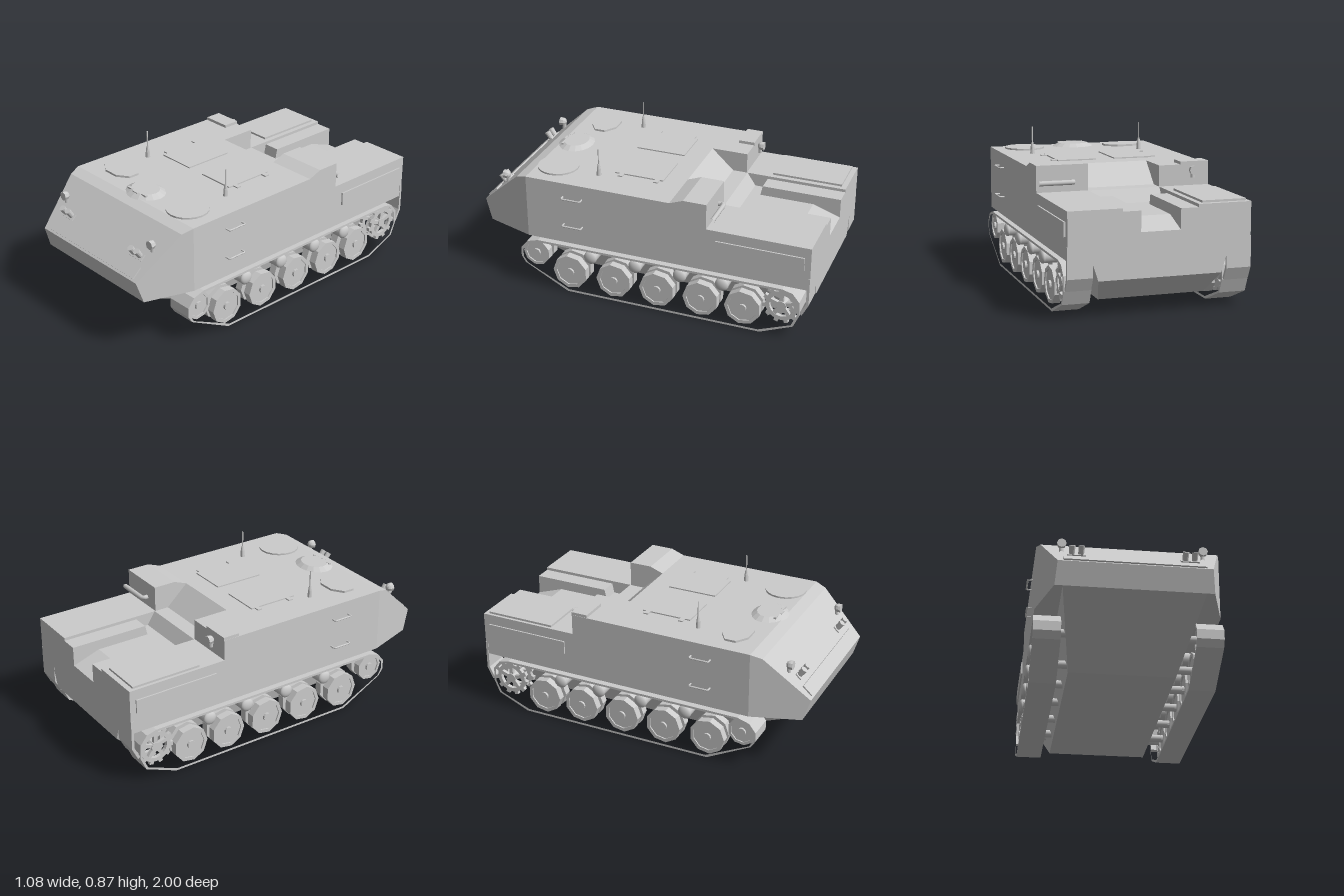
import * as THREE from 'three';

const mat = new THREE.MeshStandardMaterial({ color: 0xcccccc, flatShading: true });
const smooth = new THREE.MeshStandardMaterial({ color: 0xcccccc });
const SLOPE = Math.atan2(0.255, 0.23);
const TILT = Math.PI / 2 - SLOPE;
const glacisY = z => 0.685 - (z - 0.745) * 0.902;

export function createModel() {
  const root = new THREE.Group();

  const add = (name, geo, x = 0, y = 0, z = 0, parent = root, m = mat) => {
    const mesh = new THREE.Mesh(geo, m);
    mesh.name = name;
    mesh.position.set(x, y, z);
    parent.add(mesh);
    return mesh;
  };
  const toShape = pts => new THREE.Shape(pts.map(p => new THREE.Vector2(p[0], p[1])));
  // side profile of [z, y] points, extruded across x from x0 to x1
  const profile = (pts, x0, x1, hole) => {
    const s = toShape(pts);
    if (hole) s.holes.push(toShape(hole));
    const g = new THREE.ExtrudeGeometry(s, { depth: x1 - x0, bevelEnabled: false, curveSegments: 8 });
    return g.rotateY(-Math.PI / 2).translate(x1, 0, 0);
  };
  // profile with its half width set by a rule f(y, z)
  const tapered = (pts, f) => {
    const g = profile(pts, -1, 1), p = g.attributes.position;
    for (let i = 0; i < p.count; i++) p.setX(i, Math.sign(p.getX(i)) * f(p.getY(i), p.getZ(i)));
    g.computeVertexNormals();
    return g;
  };
  const box = (name, x0, x1, y0, y1, z0, z1) =>
    add(name, new THREE.BoxGeometry(x1 - x0, y1 - y0, z1 - z0), (x0 + x1) / 2, (y0 + y1) / 2, (z0 + z1) / 2);
  // cylinder with its axis along x
  const axle = (r, len, n = 16, r2 = r) => new THREE.CylinderGeometry(r, r2, len, n).rotateZ(-Math.PI / 2);
  const ringGeo = (R, r, len, n) => {
    const pts = q => Array.from({ length: n }, (_, i) => [q * Math.cos(i * 2 * Math.PI / n), q * Math.sin(i * 2 * Math.PI / n)]);
    return profile(pts(R), -len / 2, len / 2, pts(r));
  };
  const tube = (pts, r) => {
    const path = new THREE.CurvePath();
    const v = pts.map(p => new THREE.Vector3(...p));
    for (let i = 1; i < v.length; i++) path.add(new THREE.LineCurve3(v[i - 1], v[i]));
    return new THREE.TubeGeometry(path, 24, r, 8);
  };

  // hull
  add('nose', tapered([[0.68, 0.325], [0.96, 0.33], [1, 0.455], [0.745, 0.685], [0.68, 0.705]],
    (y, z) => 0.507 - (z - 0.68) * 0.3));
  add('lowerHull', tapered([[0.96, 0.33], [0.68, 0.33], [-0.998, 0.33], [-0.998, 0.21], [-0.86, 0.08], [0.42, 0.08]],
    y => 0.3 + (y - 0.08) * 0.32));
  add('centreHull', profile([[0.68, 0.325], [0.68, 0.705], [-0.19, 0.705], [-0.32, 0.585], [-0.41, 0.585],
    [-0.46, 0.51], [-0.84, 0.51], [-1, 0.455], [-1, 0.325]], -0.21, 0.21));
  add('leftHull', profile([[0.68, 0.325], [0.68, 0.705], [-0.19, 0.705], [-0.27, 0.735], [-0.405, 0.735],
    [-0.405, 0.585], [-1, 0.585], [-1, 0.325]], 0.21, 0.507));
  add('rightHull', profile([[0.68, 0.325], [0.68, 0.705], [-0.405, 0.705],
    [-0.405, 0.585], [-1, 0.585], [-1, 0.325]], -0.507, -0.21));
  box('roofBox', -0.505, -0.337, 0.7, 0.722, -0.407, -0.31);
  box('deckPanel', -0.49, -0.24, 0.58, 0.597, -0.97, -0.555);

  // folding panel on the front slope
  const vane = add('frontPanel', new THREE.BoxGeometry(0.76, 0.016, 0.07), 0, glacisY(0.964), 0.964);
  vane.rotation.x = TILT;

  // crew hatches
  const oct = add('rightCrewHatch', new THREE.CylinderGeometry(0.118, 0.118, 0.018, 8), -0.3, 0.708, 0.525);
  oct.rotation.y = Math.PI / 8;
  oct.geometry.rotateY(0).scale(1, 1, 1);
  oct.rotation.y = 0;
  oct.geometry.rotateY(Math.PI / 8).scale(1.06, 1, 0.72);
  add('leftCrewHatch', new THREE.CylinderGeometry(0.12, 0.12, 0.016, 20), 0.32, 0.707, 0.56);
  const cupola = add('cupola', new THREE.CylinderGeometry(0.09, 0.135, 0.024, 16), 0, 0.713, 0.59);
  cupola.scale.z = 0.8;
  for (const x of [-0.06, 0, 0.06])
    add('periscope', new THREE.BoxGeometry(0.04, 0.01, 0.014), x, 0.721, 0.66 - Math.abs(x) * 0.18);

  // exhaust pipe behind the raised roof
  add('exhaustPipe', tube([[0.3, 0.64, -0.39], [0.3, 0.64, -0.43], [0.315, 0.64, -0.437], [0.5, 0.64, -0.437]], 0.014), 0, 0, 0, root, smooth);

  // lamp: bent stalk with a rounded head facing dir along z
  const lamp = (name, x, y, z, dir) => {
    const g = new THREE.Group();
    g.name = name;
    g.position.set(x, y, z);
    add('stalk', tube([[0, -0.045, -0.01 * dir], [0, -0.01, -0.012 * dir], [0, 0, 0]], 0.012), 0, 0, 0, g, smooth);
    const dome = new THREE.SphereGeometry(0.026, 8, 4, 0, Math.PI * 2, 0, Math.PI / 2);
    add('head', dome.rotateX(-dir * Math.PI / 2), 0, 0, 0, g);
    add('lens', new THREE.CylinderGeometry(0.026, 0.026, 0.014, 8).rotateX(Math.PI / 2), 0, 0, dir * 0.007, g);
    root.add(g);
  };
  lamp('rearLamp', -0.405, 0.675, -0.435, -1);

  const loop = [[0.44, 0], [-0.73, 0], [-0.92, 0.08], [-0.955, 0.16], [-0.95, 0.24], [-0.91, 0.29], [-0.85, 0.306],
    [0.62, 0.306], [0.69, 0.285], [0.73, 0.235], [0.73, 0.18], [0.705, 0.14]];
  const inner = loop.map(([z, y]) => [-0.112 + (z + 0.112) * 0.984, 0.153 + (y - 0.153) * 0.915]);

  for (const s of [-1, 1]) {
    const span = (a, b) => s > 0 ? [a, b] : [-b, -a];

    // tracks and rear flaps
    add('track', profile(loop, ...span(0.365, 0.515), inner));
    add('rearFlap', profile([[-0.985, 0.4], [-1.0, 0.4], [-1.0, 0.23], [-0.965, 0.16], [-0.952, 0.17], [-0.985, 0.235]],
      ...span(0.37, 0.51)));

    // road wheels and front idler: twin discs, rims and hub
    const wheel = (name, z, y, r) => {
      const g = new THREE.Group();
      g.name = name;
      g.position.set(s * 0.44, y, z);
      for (const d of [-0.035, 0.035]) {
        add('rim', ringGeo(r, r * 0.8, 0.045, 9), d, 0, 0, g);
        add('disc', axle(r * 0.85, 0.03, 9), d, 0, 0, g);
      }
      add('hub', axle(0.024, 0.125, 12), 0, 0, 0, g);
      add('shaft', axle(0.023, 0.16, 12), -s * 0.08, 0, 0, g, smooth);
      root.add(g);
    };
    for (const z of [0.43, 0.157, -0.108, -0.372, -0.62]) wheel('roadWheel', z, 0.12, 0.106);
    wheel('idlerWheel', 0.64, 0.21, 0.083);

    // return rollers with domed ends
    for (const z of [0.295, 0.02, -0.25, -0.5]) {
      add('returnRoller', axle(0.038, 0.14, 16), s * 0.43, 0.25, z, root, smooth);
      const cap = add('rollerCap', new THREE.SphereGeometry(0.04, 16, 10), s * 0.5, 0.25, z, root, smooth);
      cap.scale.x = 0.5;
    }

    // sprocket: toothed ring, spokes and hub
    const sp = new THREE.Group();
    sp.name = 'driveSprocket';
    sp.position.set(s * 0.45, 0.187, -0.845);
    for (const d of [-0.035, 0.035]) {
      add('sprocketRing', ringGeo(0.093, 0.07, 0.022, 22), d, 0, 0, sp);
      for (let i = 0; i < 11; i++) {
        const a = i * 2 * Math.PI / 11;
        const t = add('tooth', new THREE.BoxGeometry(0.022, 0.022, 0.024), d, 0.098 * Math.cos(a), 0.098 * Math.sin(a), sp);
        t.rotation.x = a;
      }
      for (let i = 0; i < 5; i++) {
        const a = i * 2 * Math.PI / 5;
        const t = add('spoke', new THREE.BoxGeometry(0.02, 0.06, 0.022), d, 0.047 * Math.cos(a), 0.047 * Math.sin(a), sp);
        t.rotation.x = a;
      }
    }
    add('sprocketHub', axle(0.028, 0.1, 12), 0, 0, 0, sp);
    add('sprocketShaft', axle(0.024, 0.16, 12), -s * 0.08, 0, 0, sp);
    root.add(sp);

    // side panel and step loops
    box('sidePanel', ...span(0.5, 0.516), 0.447, 0.525, -0.965, -0.46);
    for (const y of [0.445, 0.62])
      add('sideStep', tube([[s * 0.5, y, 0.335], [s * 0.536, y, 0.335], [s * 0.536, y, 0.45], [s * 0.5, y, 0.45]], 0.005));

    // roof hatches with hinges
    box('roofHatch', ...span(0.055, 0.285), 0.7, 0.712, -0.07, 0.225);
    for (const z of [-0.035, 0.18]) box('hatchHinge', ...span(0.28, 0.318), 0.7, 0.712, z - 0.014, z + 0.014);

    // rails beside the rear channel
    add('deckRail', profile([[-0.52, 0.5], [-0.535, 0.568], [-1, 0.568], [-1, 0.44]], ...span(0.11, 0.21)));

    // antenna
    add('antennaBase', new THREE.CylinderGeometry(0.011, 0.014, 0.04, 10), s * 0.338, 0.725, 0.3);
    add('antennaCollar', new THREE.CylinderGeometry(0.006, 0.011, 0.03, 10), s * 0.338, 0.76, 0.3);
    add('antennaRod', new THREE.CylinderGeometry(0.004, 0.004, 0.1, 8), s * 0.338, 0.817, 0.3);

    // front lights
    lamp('frontLamp', s * 0.382, 0.627, 0.868, 1);
    const bracket = add('lightBracket', new THREE.BoxGeometry(0.1, 0.014, 0.04), s * 0.305, glacisY(0.9), 0.9);
    bracket.rotation.x = TILT;
    for (const x of [0.28, 0.33]) {
      const l = add('headlight', new THREE.CylinderGeometry(0.018, 0.015, 0.055, 12), s * x, 0.567, 0.912);
      l.rotation.x = 0.6;
    }
  }
  return root;
}
